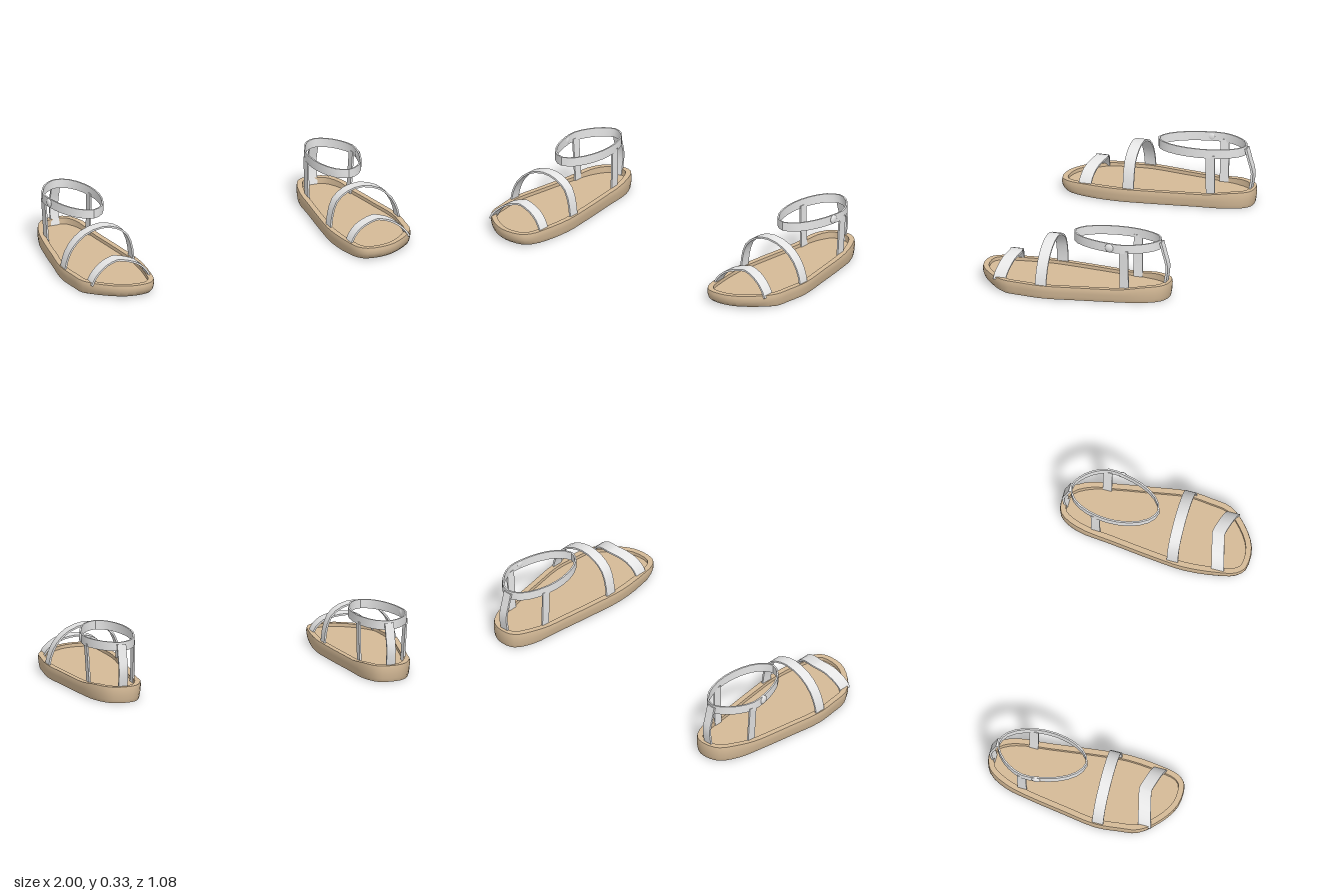
import * as THREE from 'three';
import { toCreasedNormals } from 'three/addons/utils/BufferGeometryUtils.js';

const V = (x, y, z) => new THREE.Vector3(x, y, z);
const leather = new THREE.MeshStandardMaterial({ name: 'tanSole', color: 0xd5ba97 });
const silver = new THREE.MeshStandardMaterial({ name: 'silverStrap', color: 0xe6e6e6 });

// Sole outline (x, z), from the toe along the outer side to the heel and back
const OUTLINE = new THREE.CatmullRomCurve3([
  [0.645, 0.53], [0.77, 0.53], [0.885, 0.46], [0.968, 0.36], [0.987, 0.25], [0.998, 0.12], [0.97, -0.07],
  [0.935, -0.28], [0.905, -0.41], [0.845, -0.51], [0.765, -0.538], [0.685, -0.52], [0.63, -0.42],
  [0.605, -0.23], [0.573, 0.03], [0.559, 0.2], [0.577, 0.39], [0.6, 0.485],
].map(([x, z]) => V(x, 0, z)), true).getPoints(54).slice(0, -1).map((p) => [p.x, p.z]);

// Outline moved inwards by d
function inset(d) {
  const n = OUTLINE.length;
  return OUTLINE.map(([x, z], i) => {
    const p = OUTLINE[(i + n - 1) % n], q = OUTLINE[(i + 1) % n];
    const m = new THREE.Vector2(q[0] - p[0], q[1] - p[1]).normalize();
    return [x + m.y * d, z - m.x * d];
  });
}

// Skin over equal-sized rings of points; side -1 mirrors it in x
function loft(rings, side, { closed = false, start = false, end = false, crease = 0.6 } = {}) {
  const pos = [];
  const tri = (a, b, c) => {
    for (const p of side < 0 ? [a, c, b] : [a, b, c]) pos.push(p.x * side, p.y, p.z);
  };
  const count = rings.length, n = rings[0].length;
  for (let i = 0; i < (closed ? count : count - 1); i++) {
    const r = rings[i], s = rings[(i + 1) % count];
    for (let j = 0; j < n; j++) {
      const k = (j + 1) % n;
      tri(r[j], r[k], s[k]);
      tri(r[j], s[k], s[j]);
    }
  }
  const cap = (ring, flip) => {
    const c = ring.reduce((sum, p) => sum.add(p), V(0, 0, 0)).divideScalar(n);
    ring.forEach((p, j) => {
      const q = ring[(j + 1) % n];
      if (flip) tri(c, q, p); else tri(c, p, q);
    });
  };
  if (start) cap(rings[0], true);
  if (end) cap(rings[count - 1], false);
  const g = new THREE.BufferGeometry();
  g.setAttribute('position', new THREE.Float32BufferAttribute(pos, 3));
  return toCreasedNormals(g, crease);
}

// Flat band along a smooth path
function strap(points, across, width, side, { closed = false, steps = 16, thick = 0.01 } = {}) {
  const curve = new THREE.CatmullRomCurve3(points.map((p) => V(...p)), closed);
  const rings = [];
  for (let i = 0; i < (closed ? steps : steps + 1); i++) {
    const p = curve.getPoint(i / steps), t = curve.getTangent(i / steps);
    const u = across.clone().multiplyScalar(width / 2);
    const v = t.cross(across).normalize().multiplyScalar(thick / 2);
    rings.push([[-1, -1], [1, -1], [1, 1], [-1, 1]].map(([a, b]) =>
      p.clone().addScaledVector(u, a).addScaledVector(v, b)));
  }
  return loft(rings, side, { closed, start: !closed, end: !closed });
}

function createSandal(side) {
  const sandal = new THREE.Group();
  sandal.name = side > 0 ? 'leftSandal' : 'rightSandal';
  const add = (name, geometry, material) => {
    const mesh = new THREE.Mesh(geometry, material);
    mesh.name = name;
    sandal.add(mesh);
    return mesh;
  };

  // Sole levels: inset, height, toe spring, share of heel rise
  const level = ([d, y, toe, rise]) => inset(d).map(([x, z]) => V(
    x,
    y + rise * 0.017 * THREE.MathUtils.smoothstep(-z, 0.27, 0.45),
    z - toe * THREE.MathUtils.smoothstep(z, 0.28, 0.53),
  ));
  const levels = [
    [0.01, 0, 0.05, 0], [0.008, 0.005, 0.022, 0], [0.005, 0.02, 0.006, 0], [0.002, 0.04, 0, 0],
    [0, 0.06, 0, 0.8], [0.003, 0.074, 0, 1], [0.033, 0.074, 0, 1], [0.034, 0.056, 0, 0],
  ].map(level);
  add('sole', loft(levels, side, { start: true, end: true, crease: 0.5 }), leather);

  // Straps over the foot
  const alongZ = V(0, 0, 1), up = V(0, 1, 0), alongX = V(1, 0, 0);
  add('toeStrap', strap([
    [0.592, 0.06, 0.384], [0.612, 0.1, 0.38], [0.652, 0.139, 0.37], [0.705, 0.16, 0.357],
    [0.758, 0.169, 0.344], [0.775, 0.169, 0.344], [0.835, 0.155, 0.358], [0.885, 0.125, 0.37],
    [0.918, 0.092, 0.379], [0.936, 0.06, 0.384],
  ], alongZ, 0.07, side, { steps: 18 }), silver);
  add('instepStrap', strap([
    [0.582, 0.05, 0.133], [0.59, 0.13, 0.133], [0.618, 0.216, 0.133], [0.682, 0.267, 0.133],
    [0.77, 0.284, 0.133], [0.87, 0.254, 0.133], [0.94, 0.19, 0.133], [0.975, 0.115, 0.133],
    [0.987, 0.05, 0.133],
  ], alongZ, 0.062, side, { steps: 16 }), silver);

  // Ankle loop with its posts and heel tab
  add('ankleStrap', strap([
    [0.754, 0.01], [0.825, -0.03], [0.878, -0.12], [0.905, -0.22], [0.912, -0.31], [0.878, -0.395],
    [0.825, -0.455], [0.765, -0.482], [0.70, -0.45], [0.652, -0.36], [0.633, -0.25],
    [0.645, -0.13], [0.69, -0.03],
  ].map(([x, z]) => [x, 0.305, z]), up, 0.05, side, { closed: true, steps: 26, thick: 0.009 }), silver);
  add('outerPost', strap([[0.893, 0.045, -0.315], [0.9, 0.17, -0.315], [0.909, 0.295, -0.315]],
    alongZ, 0.05, side, { steps: 3 }), silver);
  add('innerPost', strap([[0.648, 0.045, -0.315], [0.643, 0.17, -0.315], [0.642, 0.295, -0.315]],
    alongZ, 0.05, side, { steps: 3 }), silver);
  add('heelStrap', strap([
    [0.762, 0.05, -0.502], [0.762, 0.1, -0.512], [0.762, 0.18, -0.522], [0.762, 0.25, -0.504],
    [0.762, 0.318, -0.486],
  ], alongX, 0.05, side, { steps: 8, thick: 0.012 }), silver);

  // Domed stud on the outer side of the ankle strap
  const stud = add('ankleStud', new THREE.SphereGeometry(0.025, 20, 10), silver);
  stud.scale.y = 0.45;
  stud.rotation.z = -side * Math.PI / 2;
  stud.position.set(side * 0.911, 0.305, -0.235);
  return sandal;
}

export function createModel() {
  const model = new THREE.Group();
  model.name = 'sandals';
  model.add(createSandal(1), createSandal(-1));
  return model;
}
